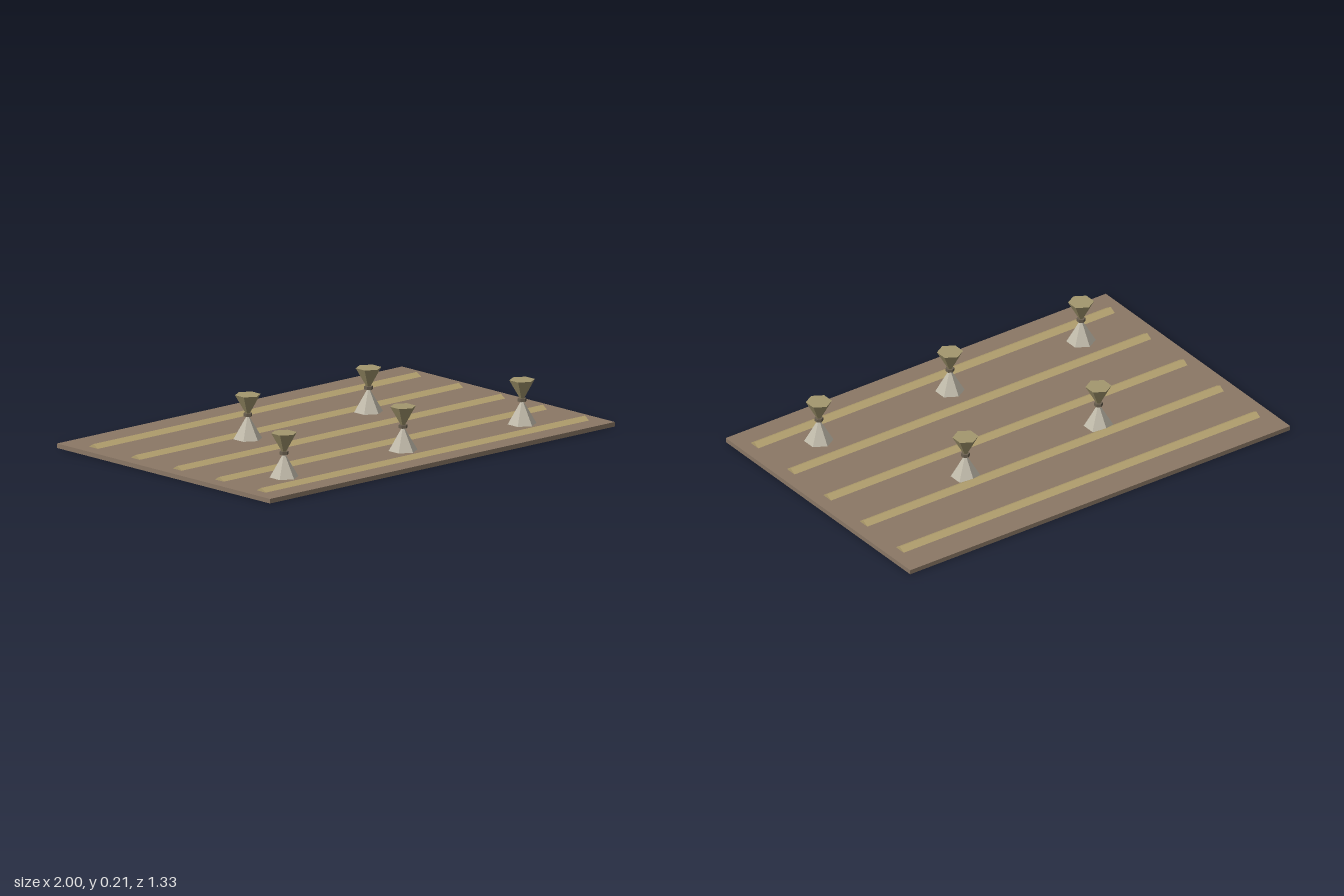
import * as THREE from 'three';

const mat = (color) => new THREE.MeshStandardMaterial({ color, flatShading: true });

function part(name, geometry, material, x = 0, y = 0, z = 0) {
  const mesh = new THREE.Mesh(geometry, material);
  mesh.name = name;
  mesh.position.set(x, y, z);
  return mesh;
}

export function createModel() {
  const model = new THREE.Group();
  model.name = 'ridgedFieldWithHourglassPosts';

  const soil = mat(0x8b7866);
  const ridgeTan = mat(0xb5a270);
  const stone = mat(0xc0baaa);
  const olive = mat(0xa3976e);
  const dark = mat(0x6b6050);

  const plateTop = 0.02;

  // Flat ground plate
  model.add(part('groundPlate', new THREE.BoxGeometry(2, plateTop, 1.334), soil, 0, plateTop / 2, 0));

  // Five long triangular ridges, running along x
  const length = 1.876;
  const profile = new THREE.Shape([
    new THREE.Vector2(-0.028, 0),
    new THREE.Vector2(0.028, 0),
    new THREE.Vector2(0, 0.016),
  ]);
  const ridgeGeo = new THREE.ExtrudeGeometry(profile, { depth: length, bevelEnabled: false });
  ridgeGeo.translate(0, 0, -length / 2).rotateY(Math.PI / 2);
  for (let i = 0; i < 5; i++) {
    model.add(part('ridge', ridgeGeo, ridgeTan, 0, plateTop, -0.507 + i * 0.263));
  }

  // Hexagonal posts: upright cone, neck collar, inverted cone
  const baseGeo = new THREE.ConeGeometry(0.063, 0.108, 6);
  const neckGeo = new THREE.CylinderGeometry(0.019, 0.019, 0.014, 6);
  const cupGeo = new THREE.CylinderGeometry(0.056, 0.004, 0.091, 6);
  const spots = [[-0.69, 0.42], [0, 0.42], [0.69, 0.42], [-0.345, -0.18], [0.355, -0.18]];
  for (const [x, z] of spots) {
    const post = new THREE.Group();
    post.name = 'post';
    post.position.set(x, plateTop, z);
    post.add(
      part('postBase', baseGeo, stone, 0, 0.054, 0),
      part('postNeck', neckGeo, dark, 0, 0.105, 0),
      part('postTop', cupGeo, olive, 0, 0.1475, 0),
    );
    model.add(post);
  }

  return model;
}
